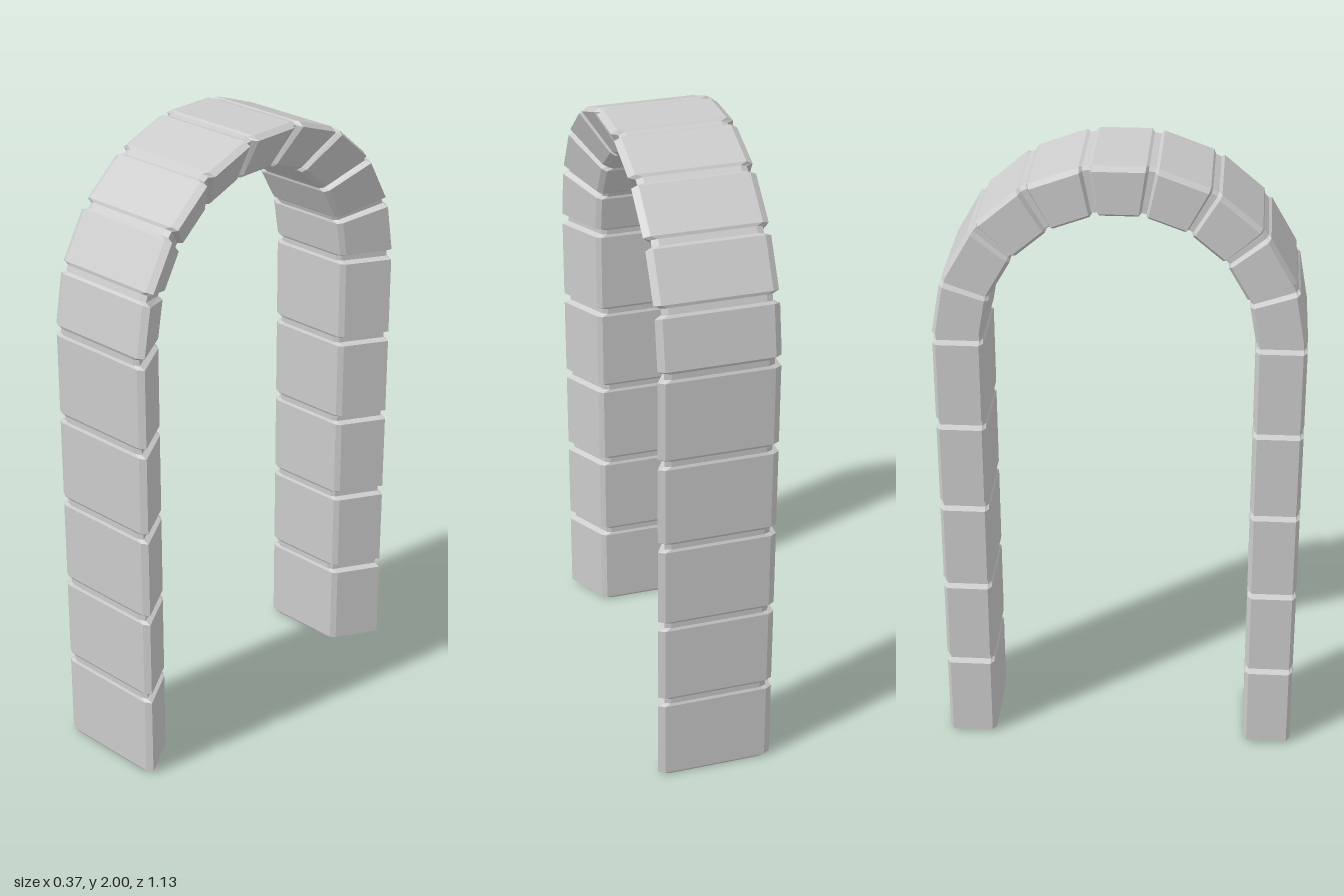
import * as THREE from 'three';

const LEG = 5, ARCH = 9, SPRING = 1.44;   // blocks per leg, blocks in the curve, springing height
const COUNT = LEG * 2 + ARCH;

// Cross-section as [x, distance from the arch axis]; one flank leans inward
const outerSection = [
  [-0.185, 0.553], [-0.165, 0.565], [0.165, 0.565], [0.185, 0.553],
  [0.108, 0.422], [0.092, 0.41], [-0.165, 0.41], [-0.185, 0.422],
];
const innerSection = outerSection.map(([x, r]) =>
  [x - Math.sign(x) * 0.02, THREE.MathUtils.clamp(r, 0.414, 0.561)]);

// Places a section at position u along the arch (one unit per block)
function ring(u, section) {
  const inArch = THREE.MathUtils.clamp(u - LEG, 0, ARCH);
  const angle = (inArch / ARCH) * Math.PI;
  const legPart = u <= LEG ? u : u >= LEG + ARCH ? COUNT - u : LEG;
  const y = (legPart / LEG) * SPRING;
  return section.map(([x, r]) =>
    new THREE.Vector3(x, y + r * Math.sin(angle), r * Math.cos(angle)));
}

// Closed solid through a list of rings
function loft(rings) {
  const pos = [];
  const tri = (...points) => points.forEach((p) => pos.push(p.x, p.y, p.z));
  const n = rings[0].length;
  for (let k = 0; k < rings.length - 1; k++) {
    const a = rings[k], b = rings[k + 1];
    for (let i = 0; i < n; i++) {
      const j = (i + 1) % n;
      tri(a[i], a[j], b[j]);
      tri(a[i], b[j], b[i]);
    }
  }
  const first = rings[0], last = rings[rings.length - 1];
  for (let i = 1; i < n - 1; i++) {
    tri(first[0], first[i + 1], first[i]);
    tri(last[0], last[i], last[i + 1]);
  }
  const geometry = new THREE.BufferGeometry();
  geometry.setAttribute('position', new THREE.Float32BufferAttribute(pos, 3));
  geometry.computeVertexNormals();
  return geometry;
}

export function createModel() {
  const group = new THREE.Group();
  group.name = 'stoneArch';
  const material = new THREE.MeshStandardMaterial({ color: 0xcccccc, flatShading: true });
  const add = (name, rings) => {
    const mesh = new THREE.Mesh(loft(rings), material);
    mesh.name = name;
    group.add(mesh);
  };

  // Stone blocks with bevelled ends
  const core = [];
  for (let k = 0; k < COUNT; k++) {
    const curved = k >= LEG && k < LEG + ARCH;
    const length = curved ? 0.175 : SPRING / LEG;
    const gap = 0.009 / length, bevel = 0.008 / length;
    const a = k === 0 ? 0 : k + gap;
    const b = k === COUNT - 1 ? COUNT : k + 1 - gap;
    const name = !curved ? 'legBlock' : k === LEG + (ARCH - 1) / 2 ? 'keystone' : 'archBlock';
    add(name, [
      ring(a, innerSection), ring(a + bevel, outerSection),
      ring(b - bevel, outerSection), ring(b, innerSection),
    ]);
    core.push(ring(a + (k === 0 ? 0.02 : 0), innerSection));
    core.push(ring(b - (k === COUNT - 1 ? 0.02 : 0), innerSection));
  }

  // Recessed mortar core showing in the joints
  add('mortarCore', core);
  return group;
}
